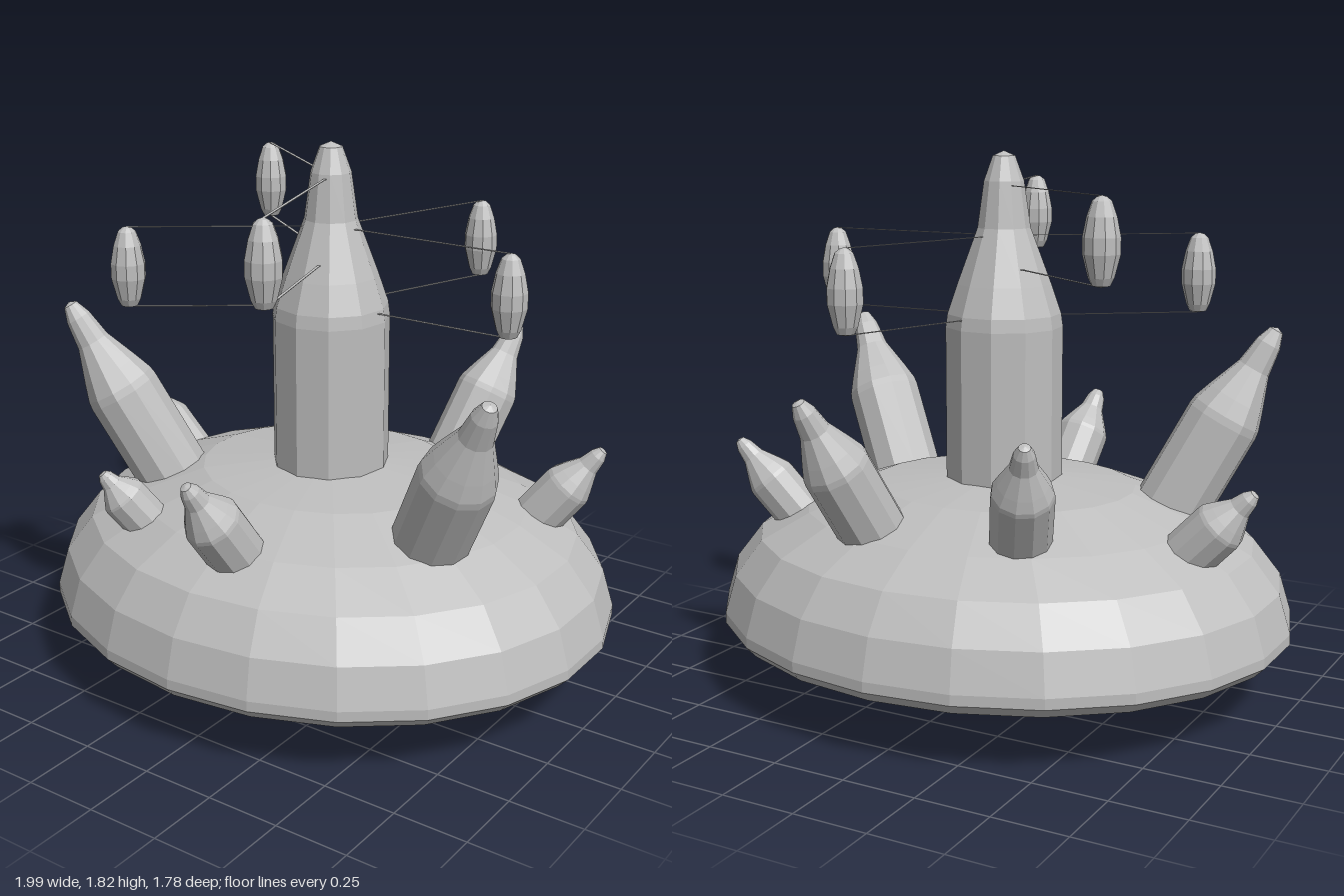
import * as THREE from 'three';

const stone = new THREE.MeshStandardMaterial({ color: 0xbebebe });
stone.name = 'pale grey';
const thinStone = new THREE.MeshStandardMaterial({ color: 0xbebebe, side: THREE.DoubleSide });
thinStone.name = 'pale grey open shell';

// Faceted normals stored in the geometry
function faceted(geometry) {
  const flat = geometry.toNonIndexed();
  flat.computeVertexNormals();
  return flat;
}

function turned(name, profile, sides) {
  const points = profile.map(([r, y]) => new THREE.Vector2(r, y));
  const mesh = new THREE.Mesh(faceted(new THREE.LatheGeometry(points, sides)), stone);
  mesh.name = name;
  return mesh;
}

// Straight shaft, conical shoulder and rounded nib, running from base to tip
function spire(name, base, tip, radius, sunk) {
  const start = new THREE.Vector3(...base);
  const axis = new THREE.Vector3(...tip).sub(start);
  const length = axis.length();
  const shape = [[1, 0.47], [0.97, 0.51], [0.8, 0.6], [0.45, 0.77], [0.34, 0.91], [0.19, 0.985], [0, 1]];
  const profile = [[radius, -sunk], ...shape.map(([r, t]) => [r * radius, t * length])];
  const mesh = turned(name, profile, 11);
  mesh.position.copy(start);
  mesh.quaternion.setFromUnitVectors(new THREE.Vector3(0, 1, 0), axis.normalize());
  return mesh;
}

export function createModel() {
  const model = new THREE.Group();
  model.name = 'domedCity';

  // Shallow oval hull
  const hull = turned('hull', [
    [0, 0.085], [0.155, 0.092], [0.85, 0.155], [0.97, 0.2], [1.005, 0.235], [1.005, 0.27],
    [0.965, 0.4], [0.87, 0.52], [0.7, 0.61], [0.46, 0.695], [0.2, 0.722], [0, 0.725],
  ], 22);
  hull.scale.z = 0.885;
  model.add(hull);

  // Open pipe under the hull
  const pipe = new THREE.Mesh(
    faceted(new THREE.CylinderGeometry(0.158, 0.158, 0.1, 11, 1, true)), thinStone);
  pipe.name = 'bottomPipe';
  pipe.position.y = 0.05;
  model.add(pipe);

  // Central tower
  model.add(spire('centralTower', [0, 0.72, 0], [0, 1.815, 0], 0.199, 0.05));

  // Leaning spires around the dome: base, tip, radius
  const spires = [
    [[0.21, 0.63, -0.51], [0.31, 1.075, -0.755], 0.112],
    [[-0.31, 0.66, -0.46], [-0.42, 0.99, -0.645], 0.1],
    [[0.65, 0.56, -0.28], [0.85, 0.825, -0.365], 0.085],
    [[-0.72, 0.56, -0.1], [-0.935, 0.785, -0.085], 0.088],
    [[-0.54, 0.64, 0.22], [-0.83, 1.235, 0.385], 0.128],
    [[0.54, 0.64, 0.22], [0.815, 1.185, 0.365], 0.128],
    [[0.045, 0.6, 0.59], [0.01, 0.885, 0.785], 0.095],
    [[-0.4, 0.59, 0.525], [-0.495, 0.755, 0.615], 0.078],
  ];
  spires.forEach(([base, tip, radius], i) => model.add(spire(`spire${i + 1}`, base, tip, radius, 0.035)));

  // Five floating pods, each tied to the tower by two flat ribbons
  const podProfile = [[0, 0], [0.028, 0.006], [0.04, 0.03], [0.058, 0.1], [0.058, 0.15],
    [0.046, 0.21], [0.03, 0.255], [0.015, 0.268], [0, 0.272]];
  const podHeights = [1.267, 1.267, 1.433, 1.267, 1.433];
  const distance = 0.668;
  podHeights.forEach((height, i) => {
    const arm = new THREE.Group();
    arm.name = `podArm${i + 1}`;
    arm.position.y = height;
    arm.rotation.y = (i * Math.PI * 2) / 5;
    const pod = turned('pod', podProfile, 10);
    pod.position.x = distance;
    arm.add(pod);
    for (const y of [0.002, 0.27]) {
      const ribbon = new THREE.Mesh(new THREE.BoxGeometry(distance, 0.002, 0.01), stone);
      ribbon.name = 'ribbon';
      ribbon.position.set(distance / 2, y, 0);
      arm.add(ribbon);
    }
    model.add(arm);
  });

  return model;
}
